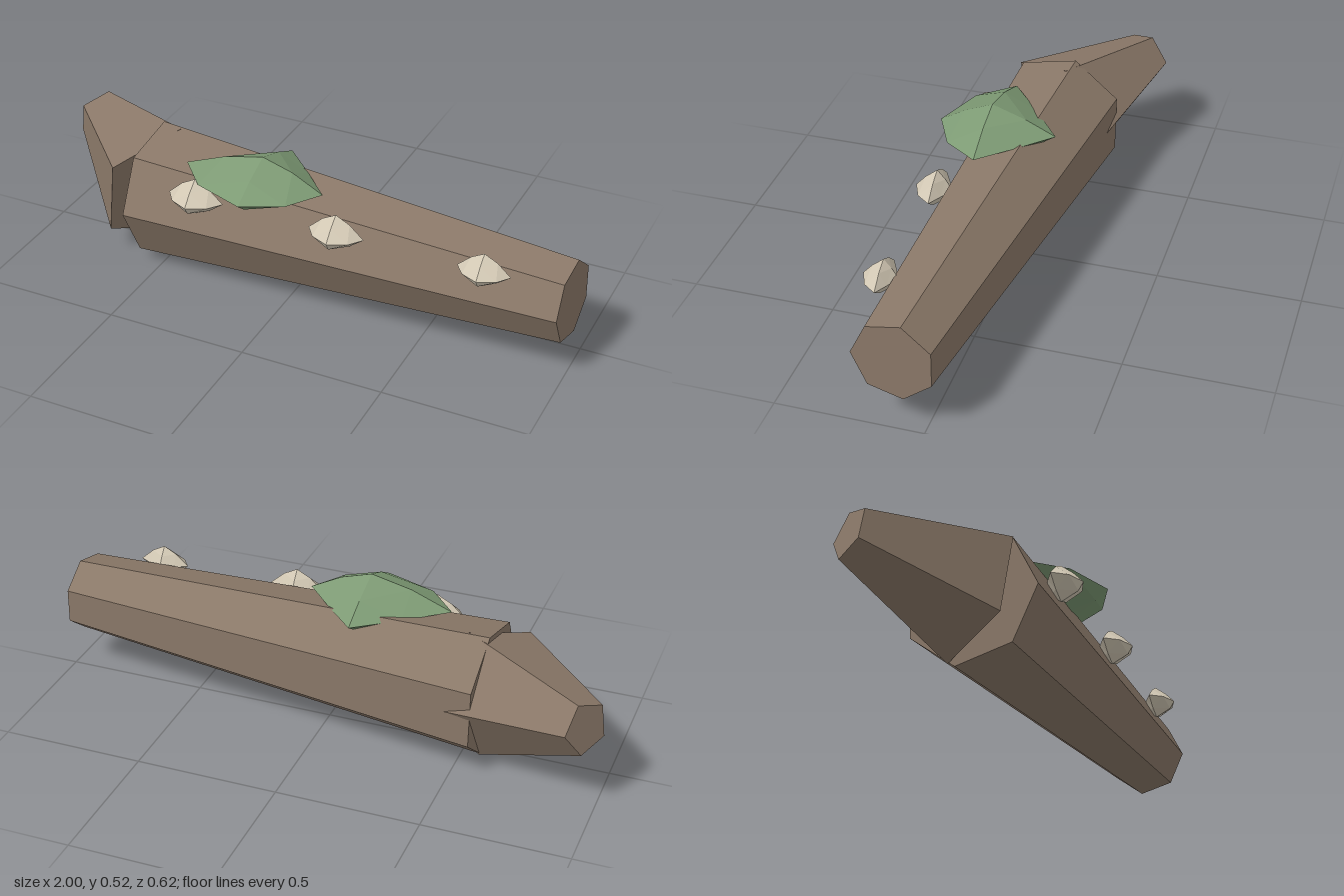
import * as THREE from 'three';

const mat = (color) => new THREE.MeshStandardMaterial({ color, flatShading: true });

// Tapered prism running from point a (radius ra) to point b (radius rb)
function limb(name, a, b, ra, rb, sides, material) {
  const from = new THREE.Vector3(...a);
  const to = new THREE.Vector3(...b);
  const dir = to.clone().sub(from);
  const length = dir.length();
  const mesh = new THREE.Mesh(new THREE.CylinderGeometry(rb, ra, length, sides), material);
  const rise = Math.asin(dir.y / length);
  mesh.rotation.set(0, -Math.atan2(dir.z, dir.x), rise - Math.PI / 2);
  mesh.position.copy(from).add(to).multiplyScalar(0.5);
  mesh.name = name;
  return mesh;
}

// Faceted lump: a subdivided octahedron with its own reach along each half axis
function lump(name, center, reach, material) {
  const [left, right, down, up, back, front] = reach;
  const geo = new THREE.OctahedronGeometry(1, 1);
  const pos = geo.attributes.position;
  const v = new THREE.Vector3();
  for (let i = 0; i < pos.count; i++) {
    v.fromBufferAttribute(pos, i);
    const isTip = Math.max(Math.abs(v.x), Math.abs(v.y), Math.abs(v.z)) > 0.9;
    if (!isTip) {
      // pull the middle points in, so the outline stays nearly diamond shaped
      if (Math.abs(v.y) < 0.1) v.multiplyScalar(v.z > 0 ? 0.9 : 0.72);
      else if (Math.abs(v.z) < 0.1) v.set(v.x * 0.7, v.y * 0.9, 0);
      else if (v.y > 0) v.multiplyScalar(0.76);
      else v.set(0, v.y * 0.7, v.z * 1.08);
    }
    pos.setXYZ(
      i,
      v.x * (v.x < 0 ? left : right),
      v.y * (v.y < 0 ? down : up),
      v.z * (v.z < 0 ? back : front)
    );
  }
  geo.computeVertexNormals();
  const mesh = new THREE.Mesh(geo, material);
  mesh.position.set(...center);
  mesh.name = name;
  return mesh;
}

export function createModel() {
  const model = new THREE.Group();
  model.name = 'fallenLog';
  const bark = mat(0x8a7868);
  const moss = mat(0x7d9a74);
  const fungus = mat(0xd2c8b4);

  // Log and the broken branch leaving its thick end
  model.add(limb('trunk', [-0.577, 0.2325, 0.008], [0.988, 0.254, 0.0997], 0.236, 0.1406, 7, bark));
  model.add(limb('branchStub', [-0.573, 0.238, 0.012], [-0.957, 0.317, -0.234], 0.236, 0.092, 5, bark));

  // Moss patch on top
  model.add(lump('mossPatch', [-0.105, 0.432, 0.123], [0.29, 0.22, 0.07, 0.091, 0.225, 0.187], moss));

  // Shelf fungi along the front
  [[-0.313, 1.03], [0.207, 1], [0.723, 0.92]].forEach(([x, s], i) => {
    const reach = [0.098, 0.1, 0.058, 0.071, 0.052, 0.076].map((r) => r * s);
    model.add(lump('shelfFungus' + (i + 1), [x, 0.362, 0.218], reach, fungus));
  });
  return model;
}
